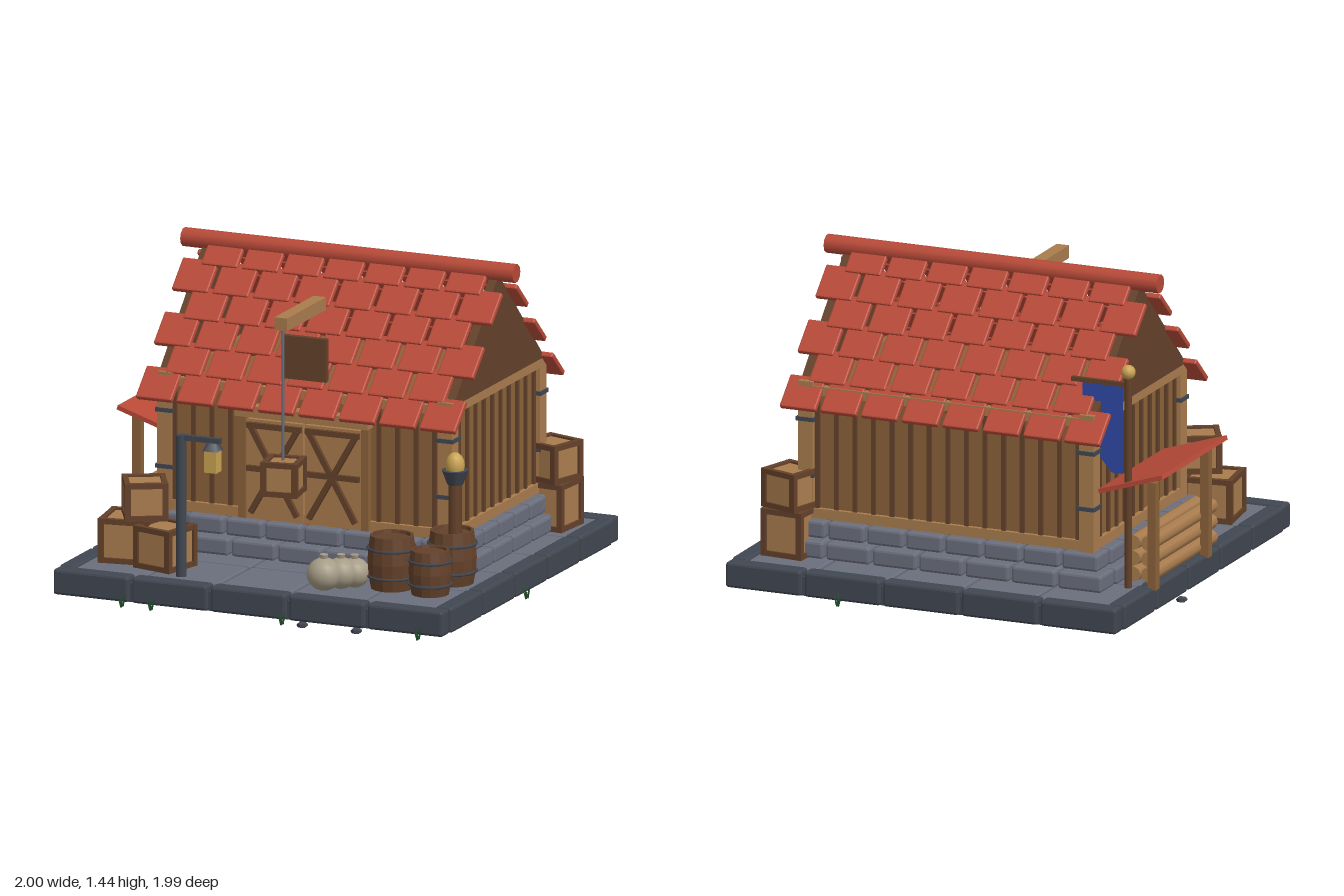
import * as THREE from 'three';
import { RoundedBoxGeometry } from 'three/addons/geometries/RoundedBoxGeometry.js';

const mat = (name, color) => Object.assign(new THREE.MeshStandardMaterial({ color }), { name });
const M = {
  red: mat('roof red', 0xb84a38), light: mat('light timber', 0xa97c4e), plank: mat('plank brown', 0x8b6239),
  dark: mat('dark wood', 0x64412a), slate: mat('slate', 0x414751), stone: mat('grey stone', 0x6b6f7d),
  gold: mat('gold', 0xc9a352), blue: mat('banner blue', 0x3049a8), sack: mat('sackcloth', 0xa69c86),
  green: mat('grass green', 0x23502a),
};
M.blue.side = M.green.side = THREE.DoubleSide;

export function createModel() {
  const root = new THREE.Group();
  root.name = 'storehouse';
  const group = (name, x = 0, y = 0, z = 0, ry = 0, parent = root) => {
    const g = new THREE.Group();
    g.name = name;
    g.position.set(x, y, z);
    g.rotation.y = ry;
    parent.add(g);
    return g;
  };
  const add = (p, name, geo, m, x = 0, y = 0, z = 0) => {
    const mesh = new THREE.Mesh(geo, m);
    mesh.name = name;
    mesh.position.set(x, y, z);
    p.add(mesh);
    return mesh;
  };
  const box = (p, name, m, x, y, z, w, h, d) => add(p, name, new THREE.BoxGeometry(w, h, d), m, x, y, z);
  // Box given by its minimum and maximum corners
  const span = (p, name, m, x0, x1, y0, y1, z0, z1) =>
    box(p, name, m, (x0 + x1) / 2, (y0 + y1) / 2, (z0 + z1) / 2, x1 - x0, y1 - y0, z1 - z0);
  const chamfered = (w, h, d, r = 0.012) => {
    const g = new RoundedBoxGeometry(w, h, d, 1, r);
    g.computeVertexNormals();
    return g;
  };
  const cyl = (p, name, m, x, y, z, r0, r1, h, n = 10) =>
    add(p, name, new THREE.CylinderGeometry(r1, r0, h, n), m, x, y, z);

  // Rectangular ring of chamfered blocks
  const ring = (p, name, m, x0, x1, z0, z1, y0, y1, depth, nx, nz) => {
    const h = y1 - y0, y = (y0 + y1) / 2, gap = 0.015;
    const w = (x1 - x0) / nx, d = (z1 - z0 - 2 * depth) / nz;
    for (let i = 0; i < nx; i++) for (const z of [z0 + depth / 2, z1 - depth / 2])
      add(p, name, chamfered(w - gap, h, depth), m, x0 + w * (i + 0.5), y, z);
    for (let i = 0; i < nz; i++) for (const x of [x0 + depth / 2, x1 - depth / 2])
      add(p, name, chamfered(depth, h, d - gap), m, x, y, z0 + depth + d * (i + 0.5));
  };

  // Paved base
  const base = group('base');
  span(base, 'baseSlab', M.slate, -0.91, 0.94, 0.02, 0.105, -0.935, 0.92);
  ring(base, 'rimStone', M.slate, -0.93, 0.96, -0.955, 0.94, 0.02, 0.135, 0.08, 5, 5);
  for (let i = 0; i < 5; i++) for (let j = 0; j < 5; j++)
    add(base, 'floorTile', chamfered(0.335, 0.04, 0.335, 0.008), M.stone, -0.685 + i * 0.35, 0.107, -0.71 + j * 0.35);

  // Stone footing in two courses
  const footing = group('footing');
  span(footing, 'footingCore', M.slate, -0.63, 0.67, 0.11, 0.29, -0.6, 0.25);
  ring(footing, 'lowerStone', M.stone, -0.76, 0.8, -0.73, 0.4, 0.13, 0.207, 0.15, 7, 4);
  ring(footing, 'upperStone', M.stone, -0.73, 0.77, -0.7, 0.37, 0.215, 0.292, 0.13, 8, 5);

  // Timber walls
  const walls = group('walls');
  span(walls, 'plankWall', M.plank, -0.67, 0.71, 0.29, 0.88, -0.65, 0.32);
  for (let i = 0; i < 15; i++) {
    const x = -0.61 + i * 0.0893;
    if (x < -0.27 || x > 0.31) box(walls, 'frontBatten', M.dark, x, 0.6, 0.322, 0.02, 0.54, 0.02);
    box(walls, 'backBatten', M.dark, x, 0.6, -0.652, 0.02, 0.54, 0.02);
  }
  for (let i = 0; i < 10; i++) for (const x of [-0.672, 0.712])
    box(walls, 'sideBatten', M.dark, x, 0.6, -0.567 + i * 0.0893, 0.02, 0.54, 0.02);
  for (const x of [-0.655, 0.695]) for (const z of [-0.635, 0.305]) {
    box(walls, 'cornerPost', M.light, x, 0.604, z, 0.07, 0.626, 0.07);
    for (const y of [0.49, 0.745]) box(walls, 'postBand', M.slate, x, y, z, 0.085, 0.018, 0.085);
  }
  for (const [y, h] of [[0.32, 0.045], [0.88, 0.04]]) {
    for (const z of [-0.65, 0.32]) box(walls, 'longBeam', M.light, 0.02, y, z, 1.3, h, 0.04);
    for (const x of [-0.67, 0.71]) box(walls, 'sideBeam', M.light, x, y, -0.165, 0.04, h, 0.9);
  }
  // Gable triangles
  const tri = new THREE.Shape([[-0.49, 0.9], [0.49, 0.9], [0, 1.385]].map(p => new THREE.Vector2(...p)));
  for (const x of [-0.69, 0.69])
    add(walls, 'gable', new THREE.ExtrudeGeometry(tri, { depth: 0.04, bevelEnabled: false }), M.dark, x, 0, -0.16).rotation.y = Math.PI / 2;

  // Double door with crossed braces
  const door = group('door', 0.02, 0, 0.335);
  box(door, 'lintel', M.light, 0, 0.79, 0.015, 0.64, 0.05, 0.06);
  for (const s of [-1, 1]) {
    box(door, 'doorLeaf', M.light, s * 0.14, 0.525, 0, 0.27, 0.45, 0.025);
    box(door, 'doorJamb', M.plank, s * 0.295, 0.535, 0, 0.035, 0.47, 0.04);
    for (const y of [0.53, 0.725]) box(door, 'doorRail', M.dark, s * 0.14, y, 0.02, 0.26, 0.025, 0.02);
    for (const t of [-1, 1])
      box(door, 'doorBrace', M.dark, s * 0.14, 0.525, 0.022, 0.025, 0.45, 0.02).rotation.z = t * 0.52;
  }

  // Roof: six staggered tile rows on each slope
  const roof = group('roof', 0.015, 0, -0.16);
  const pitch = Math.atan2(0.6, 0.58);
  for (const side of [0, Math.PI]) {
    const slope = group('roofSlope', 0, 0, 0, side, roof);
    for (let row = 0; row < 6; row++) {
      const n = row % 2 ? 7 : 8, s = row * 0.139 + 0.083;
      for (let i = 0; i < n; i++) {
        const t = add(slope, 'roofTile', chamfered(0.173, 0.026, 0.168, 0.007), M.red,
          (i - (n - 1) / 2) * 0.195, 0.805 + s * Math.sin(pitch), 0.58 - s * Math.cos(pitch));
        t.rotation.x = pitch - 0.06;
      }
    }
  }
  cyl(roof, 'ridgeCap', M.red, 0, 1.4, 0, 0.042, 0.042, 1.6, 10).rotation.z = Math.PI / 2;

  // Framed crate standing at height y
  const crate = (x, y, z, w, h, ry) => {
    const g = group('crate', x, y + h / 2, z, ry), b = 0.024, e = w / 2 - b / 2, f = h / 2 - b / 2;
    box(g, 'crateBody', M.light, 0, 0, 0, w - 0.02, h - 0.02, w - 0.02);
    for (const i of [-1, 1]) for (const j of [-1, 1]) {
      box(g, 'crateUpright', M.dark, i * e, 0, j * e, b * 1.1, h, b * 1.1);
      box(g, 'crateRail', M.dark, 0, i * f, j * e, w, b, b);
      box(g, 'crateRail', M.dark, j * e, i * f, 0, b, b, w);
    }
  };
  crate(-0.7, 0.13, 0.605, 0.23, 0.2, 0.14);
  crate(-0.5, 0.13, 0.675, 0.2, 0.19, -0.25);
  crate(-0.62, 0.333, 0.625, 0.19, 0.17, 0.5);
  crate(0.755, 0.13, -0.68, 0.2, 0.215, -0.08);
  crate(0.755, 0.345, -0.68, 0.19, 0.175, -0.3);
  crate(0.02, 0.49, 0.565, 0.165, 0.155, 0.15);

  // Hoist and loft hatch
  const hoist = group('hoist');
  span(hoist, 'hoistBeam', M.light, -0.013, 0.047, 1.232, 1.29, 0.17, 0.59);
  cyl(hoist, 'hoistRope', M.stone, 0.017, 0.94, 0.565, 0.006, 0.006, 0.6, 6);
  span(hoist, 'loftHatch', M.dark, -0.09, 0.125, 0.95, 1.145, 0.318, 0.345);

  // Barrels with iron hoops
  const barrel = (x, z, r, h) => {
    const g = group('barrel', x, 0.13, z);
    const pts = [[0.001, 0], [0.86, 0], [0.96, 0.25], [1, 0.5], [0.96, 0.75], [0.88, 1], [0.76, 1], [0.74, 0.94], [0.001, 0.94]];
    const geo = new THREE.LatheGeometry(pts.map(([a, b]) => new THREE.Vector2(a * r, b * h)), 14).toNonIndexed();
    geo.computeVertexNormals();
    add(g, 'barrelBody', geo, M.dark);
    for (const t of [0.24, 0.76])
      add(g, 'barrelHoop', new THREE.TorusGeometry(r * 0.97, 0.007, 5, 18), M.slate, 0, t * h, 0).rotation.x = Math.PI / 2;
  };
  barrel(0.56, 0.605, 0.11, 0.24);
  barrel(0.757, 0.635, 0.097, 0.2);
  barrel(0.765, 0.415, 0.11, 0.24);

  // Torch rising behind the barrels
  const torch = group('torch', 0.785, 0, 0.43);
  cyl(torch, 'torchPost', M.dark, 0, 0.36, 0, 0.03, 0.03, 0.46);
  cyl(torch, 'torchCup', M.slate, 0, 0.613, 0, 0.035, 0.06, 0.065);
  add(torch, 'flame', new THREE.SphereGeometry(0.043, 12, 8), M.gold, 0, 0.665, 0).scale.y = 1.4;

  // Street lantern
  const lamp = group('lampPost', -0.367, 0, 0.8);
  cyl(lamp, 'lampPole', M.slate, 0, 0.45, 0, 0.024, 0.024, 0.64);
  box(lamp, 'lampArm', M.slate, 0.09, 0.76, 0, 0.2, 0.024, 0.024);
  box(lamp, 'lanternGlass', M.gold, 0.152, 0.668, 0, 0.058, 0.1, 0.058);
  const cap = cyl(lamp, 'lanternCap', M.slate, 0.152, 0.733, 0, 0.05, 0.028, 0.035, 4);
  cap.rotation.y = Math.PI / 4;

  // Sacks
  for (const [x, z, r] of [[0.305, 0.765, 0.078], [0.36, 0.705, 0.074], [0.405, 0.66, 0.07]]) {
    const g = group('sack', x, 0.13, z);
    add(g, 'sackBody', new THREE.SphereGeometry(r, 14, 10), M.sack, 0, r * 0.92, 0).scale.y = 0.95;
    cyl(g, 'sackNeck', M.sack, 0, r * 1.9, 0, 0.015, 0.02, 0.025, 8);
  }

  // Lean-to with firewood
  const shed = group('leanTo');
  box(shed, 'awning', M.red, -0.845, 0.612, -0.268, 0.32, 0.02, 0.705).rotation.z = -0.31;
  for (const z of [-0.55, 0.02]) box(shed, 'awningPost', M.plank, -0.925, 0.37, z, 0.04, 0.49, 0.04);
  for (let i = 0; i < 3; i++) for (const x of [-0.877, -0.807])
    cyl(shed, 'firewood', M.light, x, 0.168 + i * 0.072, -0.16, 0.034, 0.034, 0.68, 8).rotation.x = Math.PI / 2;

  // Banner on its pole
  const banner = group('banner', -0.82, 0, -0.585);
  cyl(banner, 'bannerPole', M.dark, 0, 0.61, 0, 0.017, 0.017, 0.96, 8);
  add(banner, 'poleBall', new THREE.SphereGeometry(0.033, 12, 8), M.gold, 0, 1.113, 0);
  box(banner, 'crossbar', M.dark, 0.13, 1.055, 0, 0.28, 0.02, 0.02);
  const cloth = new THREE.Shape([[0.025, 1.045], [0.025, 0.645], [0.08, 0.645], [0.135, 0.71], [0.22, 0.86], [0.22, 1.045]]
    .map(p => new THREE.Vector2(...p)));
  add(banner, 'bannerCloth', new THREE.ShapeGeometry(cloth), M.blue);

  // Grass tufts and pebbles around the base
  for (const [x, z] of [[-0.58, 0.965], [-0.44, 0.965], [0.19, 0.965], [0.845, 0.965], [0.98, 0.1], [0.4, -0.98]]) {
    const g = group('grassTuft', x, 0, z);
    for (let i = 0; i < 5; i++) {
      const a = i * 1.26, blade = add(g, 'grassBlade', new THREE.ConeGeometry(0.006, 0.05 + 0.008 * (i % 3), 3),
        M.green, Math.cos(a) * 0.012, 0.035, Math.sin(a) * 0.012);
      blade.rotation.set(Math.sin(a) * 0.3, 0, -Math.cos(a) * 0.3);
    }
  }
  for (const [x, z] of [[0.29, 0.965], [0.55, 0.965], [-0.95, -0.3]])
    add(root, 'pebble', new THREE.DodecahedronGeometry(0.026), M.slate, x, 0.016, z).scale.y = 0.6;

  return root;
}
